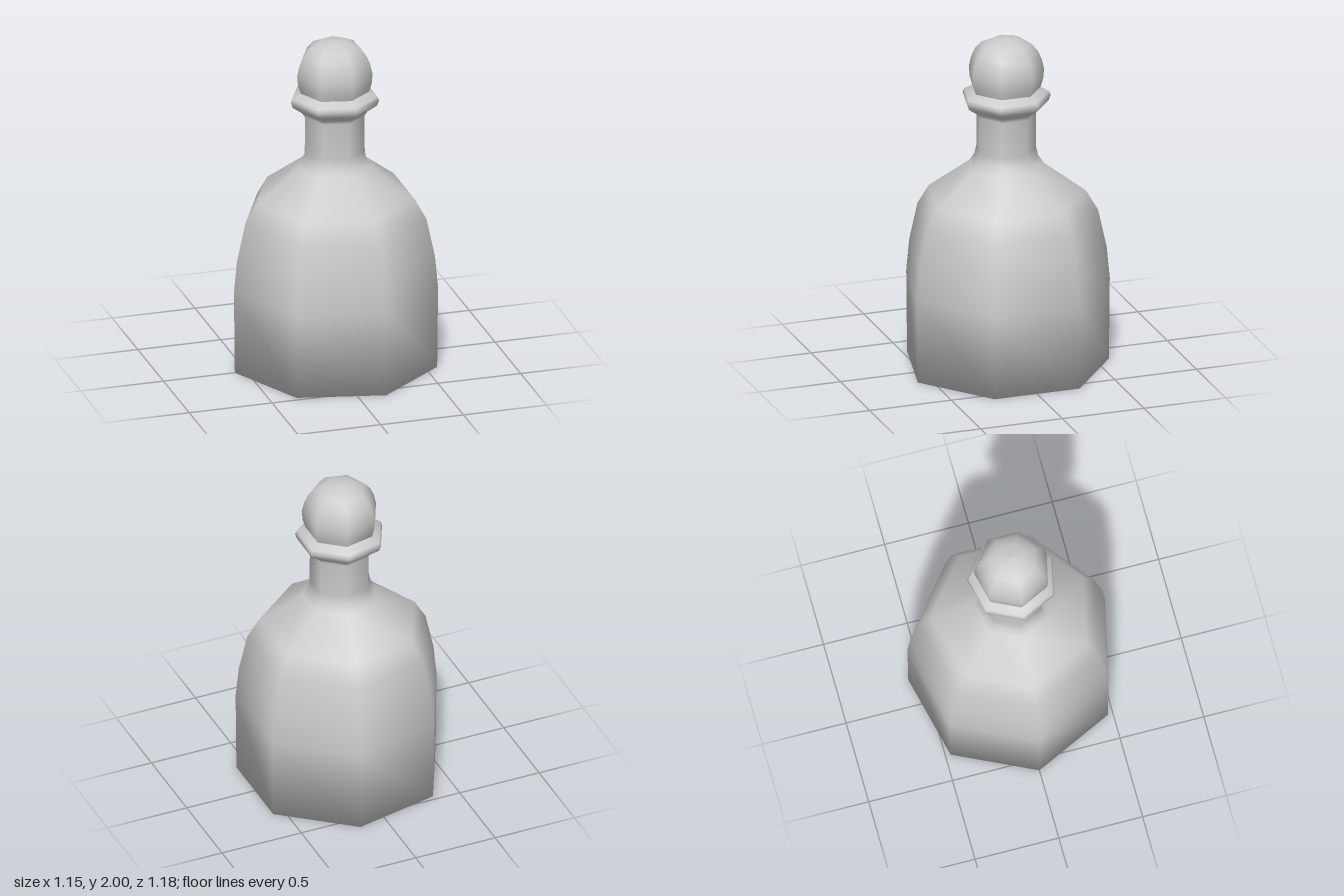
import * as THREE from 'three';

const SIDES = 7;

// Seven-sided smooth turned part; one corner points to -x
function turned(name, profile) {
  const points = profile.map(([r, y]) => new THREE.Vector2(r, y));
  const geometry = new THREE.LatheGeometry(points, SIDES, -Math.PI / 2);
  const mesh = new THREE.Mesh(geometry, new THREE.MeshStandardMaterial({ color: 0xcccccc }));
  mesh.name = name;
  return mesh;
}

export function createModel() {
  const model = new THREE.Group();
  model.name = 'stopperedBottle';

  // Closed base, belly and shoulder
  const body = [[0, 0], [0.6, 0], [0.605, 0.5], [0.587, 0.69], [0.537, 0.92], [0.467, 1.04], [0.22, 1.225]];
  // Neck, flaring into the lip ring
  const neck = [[0.19, 1.27], [0.178, 1.32], [0.177, 1.54], [0.193, 1.567]];
  const lip = [[0.251, 1.608], [0.262, 1.64], [0.252, 1.662], [0.214, 1.682], [0.203, 1.692]];
  model.add(turned('bottle', [...body, ...neck, ...lip]));

  // Ball stopper, seated in the lip
  model.add(turned('stopper', [
    [0.203, 1.692], [0.218, 1.74], [0.224, 1.8], [0.21, 1.862],
    [0.187, 1.915], [0.148, 1.96], [0.085, 1.99], [0, 2],
  ]));

  // The odd side count puts the axis slightly off the middle
  model.children.forEach((part) => { part.position.x = 0.03; });
  return model;
}
